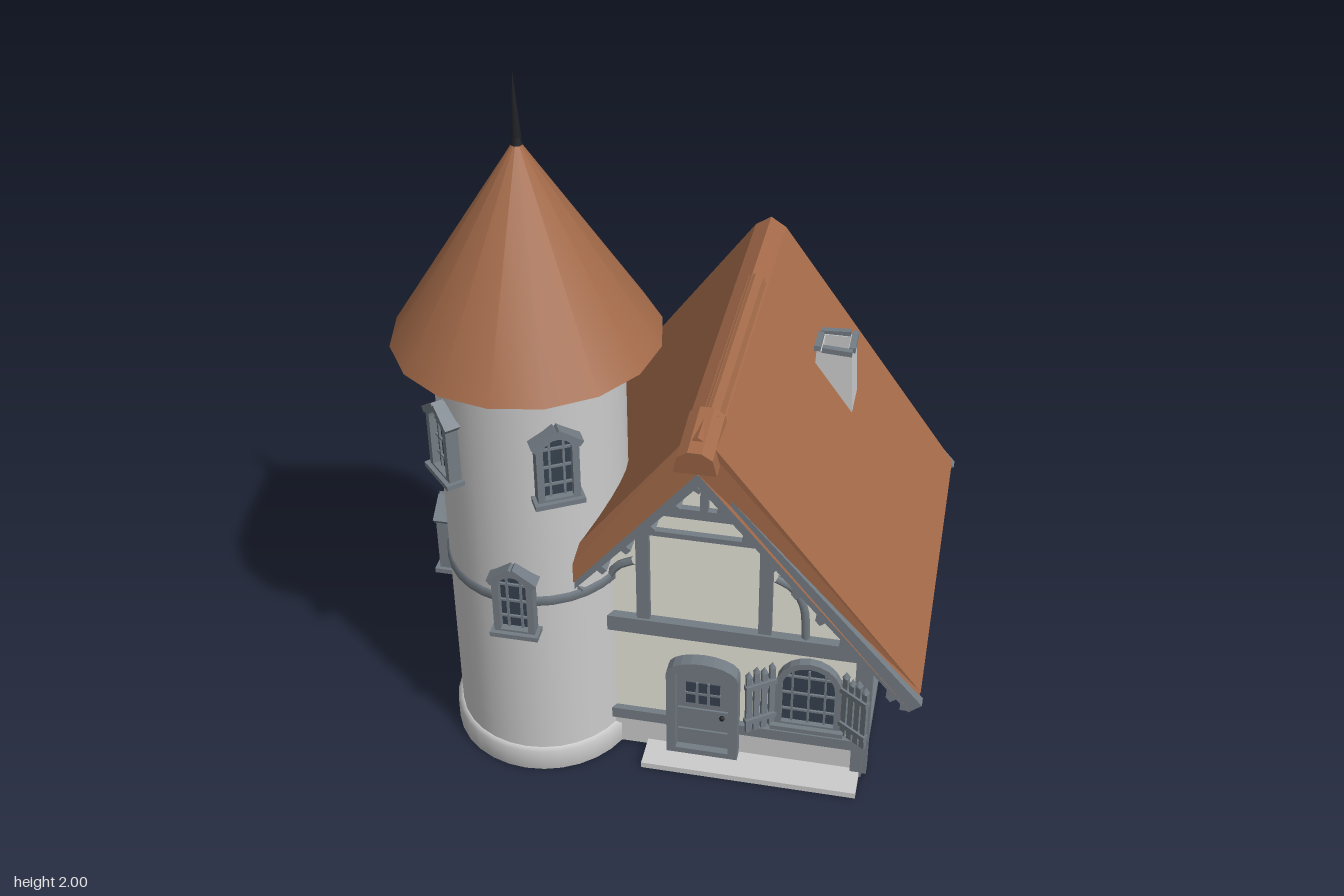
import * as THREE from 'three';

const mat = (color, extra = {}) => new THREE.MeshStandardMaterial({ color, ...extra });
const stone = mat(0xcccccc, { side: THREE.DoubleSide });
const plaster = mat(0xe8e6da, { side: THREE.DoubleSide });
const wood = mat(0x737c84);
const glass = mat(0x36424f);
const tile = mat(0xa36a49, { flatShading: true });
const coneTile = mat(0xa36a49);
const iron = mat(0x202226);

function add(parent, name, geo, material, x = 0, y = 0, z = 0) {
  const m = new THREE.Mesh(geo, material);
  m.name = name;
  m.position.set(x, y, z);
  parent.add(m);
  return m;
}
function group(parent, name, x = 0, y = 0, z = 0, ry = 0) {
  const g = new THREE.Group();
  g.name = name;
  g.position.set(x, y, z);
  g.rotation.y = ry;
  parent.add(g);
  return g;
}
const box = (p, name, w, h, d, m, x, y, z) => add(p, name, new THREE.BoxGeometry(w, h, d), m, x, y, z);

// Straight timber between two points of a wall plane
function beam(p, name, x1, y1, x2, y2, t = 0.035, d = 0.025, z = 0.006) {
  const b = box(p, name, Math.hypot(x2 - x1, y2 - y1), t, d, wood, (x1 + x2) / 2, (y1 + y2) / 2, z);
  b.rotation.z = Math.atan2(y2 - y1, x2 - x1);
}

// Outline standing on y = 0, topped by an arch of the given rise
function archShape(w, h, rise, inset = 0) {
  const s = new THREE.Shape(), a = w / 2 - inset, y0 = inset, y1 = h - rise, r = Math.max(rise - inset, 0);
  s.moveTo(-a, y0).lineTo(a, y0);
  if (r > 0) {
    for (let i = 0; i <= 10; i++) {
      const t = i / 10 * Math.PI;
      s.lineTo(Math.cos(t) * a, y1 + Math.sin(t) * r);
    }
  } else s.lineTo(a, h - inset).lineTo(-a, h - inset);
  s.closePath();
  return s;
}
const extrude = (s, depth) => new THREE.ExtrudeGeometry(s, { depth, bevelEnabled: false });

function frame(p, w, h, rise, t, d) {
  const s = archShape(w, h, rise);
  s.holes.push(archShape(w, h, rise, t));
  add(p, 'frame', extrude(s, d), wood, 0, 0, -0.01);
}
function windowUnit(parent, name, x, y, z, ry, w, h, rise, d = 0.035) {
  const g = group(parent, name, x, y, z, ry), t = 0.018;
  frame(g, w, h, rise, t, d);
  add(g, 'glass', extrude(archShape(w, h, rise, t * 0.8), 0.012), glass, 0, 0, -0.002);
  const n = w > 0.13 ? 3 : 2;
  for (let i = 1; i <= n; i++) {
    const mx = -w / 2 + w * i / (n + 1);
    box(g, 'mullion', 0.006, h - t - rise * 0.3, 0.008, wood, mx, (h - rise * 0.3) / 2, 0.012);
  }
  for (let i = 1; i < 4; i++) box(g, 'glazingBar', w - t, 0.006, 0.008, wood, 0, h * i / 4, 0.012);
  box(g, 'sill', w + 0.02, 0.014, d + 0.02, wood, 0, 0.005, 0.012);
  return g;
}
// Open slatted shutters, hinged beside a window
function shutters(g, w, h, angle) {
  for (const s of [-1, 1]) {
    const sh = group(g, 'shutter', s * w / 2, 0, 0.015, -s * angle);
    for (let i = 0; i < 4; i++) {
      const sy = h - 0.01 * (i % 2);
      box(sh, 'slat', 0.017, sy, 0.01, wood, s * (0.012 + i * 0.023), sy / 2, 0);
      const tip = add(sh, 'slatTip', new THREE.ConeGeometry(0.012, 0.02, 4), wood, s * (0.012 + i * 0.023), sy + 0.01, 0);
      tip.rotation.y = Math.PI / 4;
    }
    for (const f of [0.2, 0.78]) box(sh, 'shutterRail', 0.092, 0.016, 0.018, wood, s * 0.047, h * f, 0.003);
  }
}

// Gable wall: local x along the wall, z outwards
function gable(parent, name, z, ry) {
  const g = group(parent, name, 0.11, 0, z, ry);
  const s = new THREE.Shape([[-0.44, 0], [0.44, 0], [0.44, 0.52], [0, 1.07], [-0.44, 0.52]].map(p => new THREE.Vector2(...p)));
  add(g, 'gableWall', new THREE.ShapeGeometry(s), plaster);
  box(g, 'plinth', 0.88, 0.1, 0.012, stone, 0, 0.05, 0);
  beam(g, 'sillBeam', -0.44, 0.115, 0.44, 0.115);
  beam(g, 'floorBeam', -0.45, 0.455, 0.45, 0.455, 0.05, 0.04);
  beam(g, 'thinRail', -0.24, 0.778, 0.24, 0.778, 0.016);
  beam(g, 'collarBeam', -0.17, 0.855, 0.17, 0.855, 0.03);
  beam(g, 'kingPost', 0, 0.86, 0, 1.06, 0.02);
  for (const m of [-1, 1]) {
    beam(g, 'cornerPost', m * 0.43, 0, m * 0.43, 0.52, 0.032);
    beam(g, 'upperPost', m * 0.165, 0.47, m * 0.165, 0.86);
    beam(g, 'strut', m * 0.01, 0.93, m * 0.07, 0.97, 0.015);
    beam(g, 'wallRafter', 0, 1.035, m * 0.44, 0.50, 0.03);
    beam(g, 'bargeBoard', 0, 1.045, m * 0.58, 0.365, 0.045, 0.03, 0.085);
    const pts = [[0.19, 0.67], [0.235, 0.645], [0.265, 0.59], [0.275, 0.48]].map(p => new THREE.Vector3(m * p[0], p[1], 0.008));
    add(g, 'curvedBrace', new THREE.TubeGeometry(new THREE.CatmullRomCurve3(pts), 10, 0.012, 5), wood);
    for (let i = 0; i < 8; i++) {
      const x = 0.06 + i * 0.065;
      const b = box(g, 'purlinEnd', 0.02, 0.02, 0.1, wood, m * x, 1.0 - x * 1.19, 0.045);
      b.rotation.z = -m * 0.87;
    }
  }
  return g;
}

function sideWall(parent, name, x, ry) {
  const g = group(parent, name, x, 0, -0.0625, ry), L = 0.885;
  add(g, 'wall', new THREE.PlaneGeometry(L, 0.54), plaster, 0, 0.27, 0);
  box(g, 'plinth', L, 0.1, 0.012, stone, 0, 0.05, 0);
  beam(g, 'sillBeam', -L / 2, 0.115, L / 2, 0.115);
  beam(g, 'wallPlate', -L / 2, 0.45, L / 2, 0.45, 0.05);
  for (const m of [-1, 1]) beam(g, 'cornerPost', m * 0.43, 0, m * 0.43, 0.52, 0.032);
  return g;
}

function buildRoof(house) {
  // Chevron section, with the ridge pushed out beyond the eaves at each end
  const prof = [[-0.59, 0.40], [-0.045, 1.135], [0, 1.165], [0.045, 1.135], [0.59, 0.40], [0.565, 0.36], [0, 1.055], [-0.565, 0.36]];
  const s = new THREE.Shape(prof.map(p => new THREE.Vector2(...p)));
  const geo = extrude(s, 1.08), pos = geo.attributes.position;
  for (let i = 0; i < pos.count; i++) {
    const front = pos.getZ(i) > 0.5, ax = Math.abs(pos.getX(i));
    const shift = ax < 0.1 ? (front ? 0.005 : -0.03) : ax > 0.58 ? (front ? -0.03 : 0.02) : 0;
    pos.setZ(i, pos.getZ(i) + shift);
  }
  geo.computeVertexNormals();
  add(house, 'roof', geo, tile, 0.11, 0, -0.60);
  for (const m of [-1, 1]) box(house, 'eaveBoard', 0.03, 0.02, 1.07, wood, 0.11 + m * 0.555, 0.36, -0.06);
  // Ridge tiles
  const cap = new THREE.Shape([[-0.055, -0.07], [-0.045, -0.02], [-0.018, 0], [0.018, 0], [0.045, -0.02], [0.055, -0.07]].map(p => new THREE.Vector2(...p)));
  const c = add(house, 'ridgeCap', extrude(cap, 0.17), tile, 0.11, 1.17, 0.36);
  c.rotation.x = 0.12;
  const roll = add(house, 'ridgeRoll', new THREE.CylinderGeometry(0.03, 0.03, 0.68, 8), tile, 0.12, 1.138, 0.04);
  roll.rotation.x = Math.PI / 2;
}

function buildChimney(house) {
  const g = group(house, 'chimney', 0.355, 0, -0.29), q = Math.SQRT2;
  const prof = [[0.064, 0.70], [0.05, 0.975], [0.036, 0.975], [0.036, 0.78]].map(p => new THREE.Vector2(p[0] * q, p[1]));
  const geo = new THREE.LatheGeometry(prof, 4);
  geo.rotateY(Math.PI / 4);
  add(g, 'stack', geo, mat(0xcccccc, { flatShading: true, side: THREE.DoubleSide }));
  for (let i = 0; i < 4; i++) {
    const r = group(g, 'rimSide', 0, 0, 0, i * Math.PI / 2);
    const b = box(r, 'rimStone', 0.085, 0.016, 0.018, wood, 0.008, 0.979, 0.048);
    b.rotation.z = i % 2 ? 0.06 : -0.06;
  }
}

function buildTower(root) {
  const g = group(root, 'tower', -0.365, 0, 0.285);
  const ring = (name, r, h, y, m) => add(g, name, new THREE.CylinderGeometry(r, r, h, 32, 1, name === 'towerWall'), m, 0, y, 0);
  ring('towerWall', 0.245, 1.26, 0.63, stone);
  const foot = [[0.245, 0], [0.26, 0], [0.26, 0.065], [0.245, 0.07]].map(p => new THREE.Vector2(...p));
  add(g, 'towerFoot', new THREE.LatheGeometry(foot, 32), stone);
  ring('topBand', 0.253, 0.05, 1.265, wood);
  const bandProf = [[0.24, 0.593], [0.251, 0.593], [0.251, 0.62], [0.24, 0.62]].map(p => new THREE.Vector2(...p));
  add(g, 'middleBand', new THREE.LatheGeometry(bandProf, 32), wood);
  add(g, 'towerRoof', new THREE.ConeGeometry(0.345, 0.545, 16), coneTile, 0, 1.5575, 0);
  add(g, 'spireFoot', new THREE.CylinderGeometry(0.008, 0.015, 0.03, 8), iron, 0, 1.825, 0);
  add(g, 'spire', new THREE.ConeGeometry(0.013, 0.17, 8), iron, 0, 1.915, 0);
  for (const [deg, y] of [[29, 0.94], [-46, 0.94], [0, 0.505], [-90, 0.505]]) {
    const a = THREE.MathUtils.degToRad(deg), r = 0.243;
    const w = windowUnit(g, 'towerWindow', Math.sin(a) * r, y, Math.cos(a) * r, a, 0.11, 0.215, 0.05, 0.04);
    // Peaked hood
    for (const m of [-1, 1]) beam(w, 'hood', 0, 0.22, m * 0.062, 0.175, 0.018, 0.045, 0.012);
  }
}

function buildDoor(front) {
  const g = group(front, 'door', 0, 0.01, 0.005);
  frame(g, 0.2, 0.35, 0.05, 0.026, 0.045);
  add(g, 'doorLeaf', extrude(archShape(0.2, 0.35, 0.05, 0.02), 0.014), wood);
  box(g, 'doorWindow', 0.095, 0.075, 0.006, glass, 0, 0.225, 0.014);
  for (const x of [-0.016, 0.016]) box(g, 'doorBar', 0.007, 0.08, 0.01, wood, x, 0.225, 0.015);
  box(g, 'doorBar', 0.1, 0.007, 0.01, wood, 0, 0.225, 0.015);
  for (const y of [0.08, 0.16]) box(g, 'doorRail', 0.14, 0.015, 0.008, wood, 0, y, 0.016);
  add(g, 'doorKnob', new THREE.SphereGeometry(0.008, 8, 6), iron, 0.055, 0.15, 0.024);
}

export function createModel() {
  const root = new THREE.Group();
  root.name = 'cottageWithTower';
  const house = group(root, 'house');

  const front = gable(house, 'frontGable', 0.38, 0);
  buildDoor(front);
  shutters(windowUnit(front, 'frontWindow', 0.29, 0.16, 0, 0, 0.18, 0.24, 0.09), 0.18, 0.21, 0.6);
  box(house, 'doorStep', 0.6, 0.018, 0.1, stone, 0.25, 0.009, 0.43);

  const back = gable(house, 'backGable', -0.505, Math.PI);
  windowUnit(back, 'backWindow', 0, 0.155, 0, 0, 0.15, 0.2, 0);

  for (const m of [-1, 1]) {
    const w = sideWall(house, m > 0 ? 'leftWall' : 'rightWall', 0.11 + m * 0.44, m * Math.PI / 2);
    const u = windowUnit(w, 'sideWindow', 0, 0.16, 0, 0, 0.17, 0.23, 0.08);
    if (m > 0) shutters(u, 0.17, 0.2, 0.6);
  }
  buildRoof(house);
  buildChimney(house);
  buildTower(root);
  return root;
}
